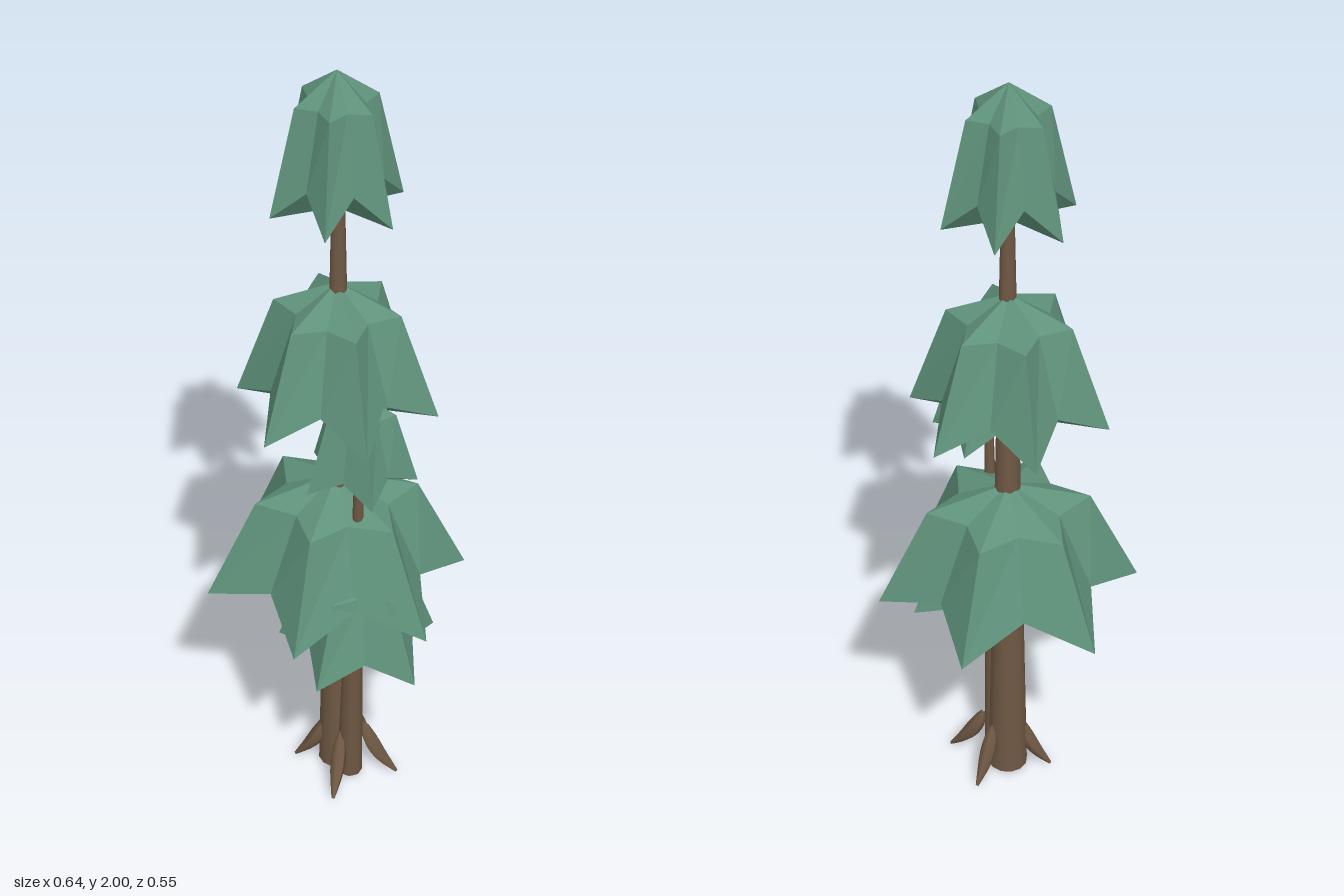
import * as THREE from 'three';

const needles = new THREE.MeshStandardMaterial({ name: 'needleGreen', color: 0x5f927b });
const bark = new THREE.MeshStandardMaterial({ name: 'barkBrown', color: 0x6f5843 });
needles.flatShading = true;

// Drooping star-shaped canopy: apex, shoulder ring, pointed rim, underside meeting at a low hub.
function canopy(name, { points, x = 0, z = 0, radius, angle, apex, shoulder, tip, notch, hub }) {
  const n = points * 2;
  const ring = (tipR, notchR, tipY, notchY) => Array.from({ length: n }, (_, i) => {
    const a = THREE.MathUtils.degToRad(angle) + (i / n) * Math.PI * 2;
    const r = radius * (i % 2 ? notchR : tipR);
    return [x + Math.cos(a) * r, i % 2 ? notchY : tipY, z + Math.sin(a) * r];
  });
  const rows = [
    ring(0, 0, apex, apex),
    ring(0.62, 0.4, shoulder, shoulder),
    ring(1, 0.66, tip, notch),
    ring(0, 0, hub, hub),
  ];
  const pos = [];
  for (let k = 0; k < 3; k++) {
    for (let i = 0; i < n; i++) {
      const j = (i + 1) % n;
      const a = rows[k][i], b = rows[k][j], c = rows[k + 1][i], d = rows[k + 1][j];
      if (k > 0) pos.push(...a, ...b, ...d);
      if (k < 2) pos.push(...a, ...d, ...c);
    }
  }
  const geo = new THREE.BufferGeometry();
  geo.setAttribute('position', new THREE.Float32BufferAttribute(pos, 3));
  geo.computeVertexNormals();
  const mesh = new THREE.Mesh(geo, needles);
  mesh.name = name;
  return mesh;
}

// Straight tapered stem between two points.
function stem(name, from, to, r0, r1, sides = 10) {
  const a = new THREE.Vector3(...from), b = new THREE.Vector3(...to);
  const dir = b.clone().sub(a);
  const mesh = new THREE.Mesh(new THREE.CylinderGeometry(r1, r0, dir.length(), sides), bark);
  mesh.position.copy(a).lerp(b, 0.5);
  mesh.quaternion.setFromUnitVectors(new THREE.Vector3(0, 1, 0), dir.normalize());
  mesh.name = name;
  return mesh;
}

// Curved root, thick in the middle and pointed at both ends.
function root(x, z) {
  const cx = 0.03, steps = 8, sides = 6;
  const at = (f, y) => new THREE.Vector3(cx + (x - cx) * f, y, z * f);
  const curve = new THREE.CatmullRomCurve3([at(0.35, 0.15), at(0.48, 0.1), at(0.7, 0.05), at(1, 0.006)]);
  const geo = new THREE.TubeGeometry(curve, steps, 0.02, sides);
  const p = geo.attributes.position, v = new THREE.Vector3();
  for (let i = 0; i < p.count; i++) {
    const t = Math.floor(i / (sides + 1)) / steps;
    const c = curve.getPointAt(t);
    v.fromBufferAttribute(p, i).sub(c).multiplyScalar(0.2 + 0.8 * Math.sin(Math.PI * Math.pow(t, 0.8))).add(c);
    p.setXYZ(i, v.x, v.y, v.z);
  }
  geo.computeVertexNormals();
  const mesh = new THREE.Mesh(geo, bark);
  mesh.name = 'root';
  return mesh;
}

export function createModel() {
  const tree = new THREE.Group();
  tree.name = 'pineTree';

  // Main trunk and the two side stems
  tree.add(
    stem('trunk', [0.008, 0.01, 0.003], [0.004, 1.7, 0], 0.05, 0.015, 12),
    stem('sideTrunk', [0.066, 0.012, 0.015], [0.092, 0.52, 0.028], 0.032, 0.022, 8),
    stem('upperSideStem', [0.11, 0.8, 0.033], [0.116, 1.02, 0.034], 0.014, 0.011, 8),
  );

  // Roots
  for (const [x, z] of [[0.118, 0.118], [0.15, -0.07], [-0.07, 0.08], [-0.015, -0.118]]) tree.add(root(x, z));

  // Main canopies
  tree.add(
    canopy('lowerCanopy', { points: 6, radius: 0.32, angle: 0, apex: 0.92, shoulder: 0.855, tip: 0.597, notch: 0.66, hub: 0.59 }),
    canopy('middleCanopy', { points: 6, radius: 0.241, angle: 25, apex: 1.46, shoulder: 1.39, tip: 1.125, notch: 1.19, hub: 1.12 }),
    canopy('topCanopy', { points: 6, radius: 0.158, angle: -9, apex: 2, shoulder: 1.925, tip: 1.662, notch: 1.74, hub: 1.657 }),
  );

  // Small side canopies
  tree.add(
    canopy('lowerSideCanopy', { points: 5, x: 0.12, z: 0.035, radius: 0.2, angle: 0, apex: 0.735, shoulder: 0.69, tip: 0.478, notch: 0.525, hub: 0.478 }),
    canopy('upperSideCanopy', { points: 5, x: 0.12, z: 0.04, radius: 0.138, angle: 29, apex: 1.23, shoulder: 1.18, tip: 0.998, notch: 1.04, hub: 0.995 }),
  );
  return tree;
}
